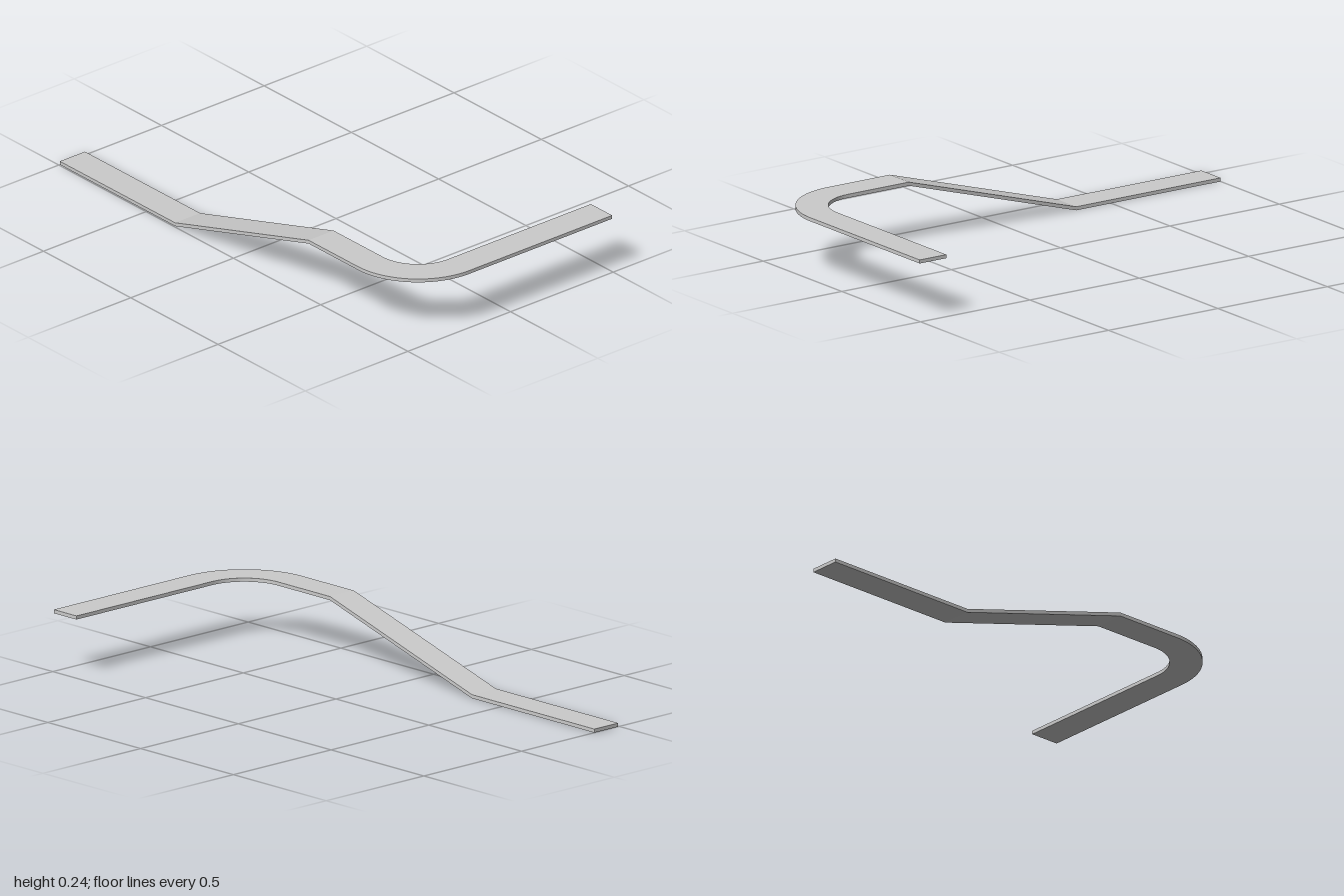
import * as THREE from 'three';
import { toCreasedNormals } from 'three/addons/utils/BufferGeometryUtils.js';

const HALF_X = 0.495, WIDTH = 0.122, THICK = 0.014, RISE = 0.224;
const OUTER_R = 0.295, INNER_R = OUTER_R - WIDTH, ARC_STEPS = 32;

// Sweep a rectangular section through stations given by outer/inner edge points and base height
function sweepStrip(stations) {
  const pos = [], index = [];
  for (const { outer, inner, y } of stations) {
    pos.push(outer[0], y + THICK, outer[1], inner[0], y + THICK, inner[1]);
    pos.push(inner[0], y, inner[1], outer[0], y, outer[1]);
  }
  for (let i = 0; i < stations.length - 1; i++) {
    for (let j = 0; j < 4; j++) {
      const a = i * 4 + j, b = i * 4 + (j + 1) % 4;
      index.push(a, a + 4, b, b, a + 4, b + 4);
    }
  }
  // End caps
  const e = (stations.length - 1) * 4;
  index.push(0, 1, 2, 0, 2, 3, e, e + 2, e + 1, e, e + 3, e + 2);
  const geo = new THREE.BufferGeometry();
  geo.setAttribute('position', new THREE.Float32BufferAttribute(pos, 3));
  geo.setIndex(index);
  return toCreasedNormals(geo, 0.2);
}

export function createModel() {
  const group = new THREE.Group();
  group.name = 'bentStrip';
  const stations = [];

  // Straight leg: low flat end, ramp, high flat run
  for (const [z, y] of [[-1, 0], [-0.34, 0], [0.425, RISE]]) {
    stations.push({ outer: [-HALF_X, z], inner: [-HALF_X + WIDTH, z], y });
  }

  // Rounded corner in the high plane
  const cx = -HALF_X + OUTER_R, cz = 1 - OUTER_R;
  for (let i = 0; i <= ARC_STEPS; i++) {
    const t = (i / ARC_STEPS) * Math.PI / 2;
    const at = r => [cx - r * Math.cos(t), cz + r * Math.sin(t)];
    stations.push({ outer: at(OUTER_R), inner: at(INNER_R), y: RISE });
  }

  // Front arm end
  stations.push({ outer: [HALF_X, 1], inner: [HALF_X, 1 - WIDTH], y: RISE });

  const strip = new THREE.Mesh(
    sweepStrip(stations),
    new THREE.MeshStandardMaterial({ color: 0xcccccc })
  );
  strip.name = 'strip';
  group.add(strip);
  return group;
}
